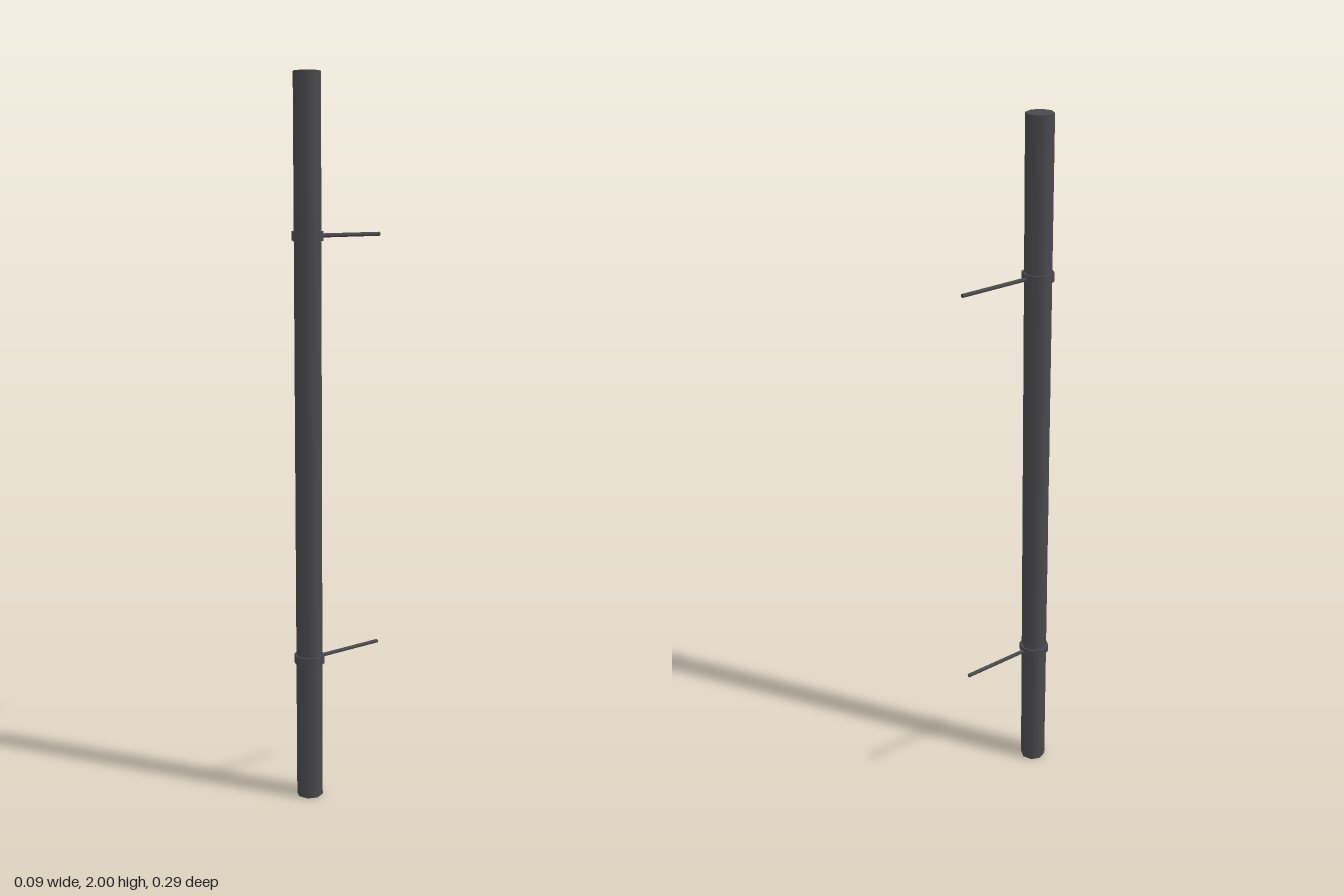
import * as THREE from 'three';

export function createModel() {
  const model = new THREE.Group();
  model.name = 'wallMountedPipe';
  const darkMetal = new THREE.MeshStandardMaterial({ name: 'darkMetal', color: 0x4a4a4e });
  const PIPE_Z = 0.1;

  const addCylinder = (name, radius, length, y, z) => {
    const mesh = new THREE.Mesh(new THREE.CylinderGeometry(radius, radius, length, 8), darkMetal);
    mesh.name = name;
    mesh.position.set(0, y, z);
    model.add(mesh);
    return mesh;
  };

  // Full-height downpipe
  addCylinder('pipe', 0.037, 2, 1, PIPE_Z);

  // Clamp collars, each with a rod reaching back to the wall
  for (const [label, y] of [['lower', 0.407], ['upper', 1.58]]) {
    addCylinder(`${label}Clamp`, 0.043, 0.025, y, PIPE_Z);
    const back = -0.142, front = 0.07;
    const rod = addCylinder(`${label}WallRod`, 0.0055, front - back, y, (front + back) / 2);
    rod.rotation.x = Math.PI / 2;
  }
  return model;
}
